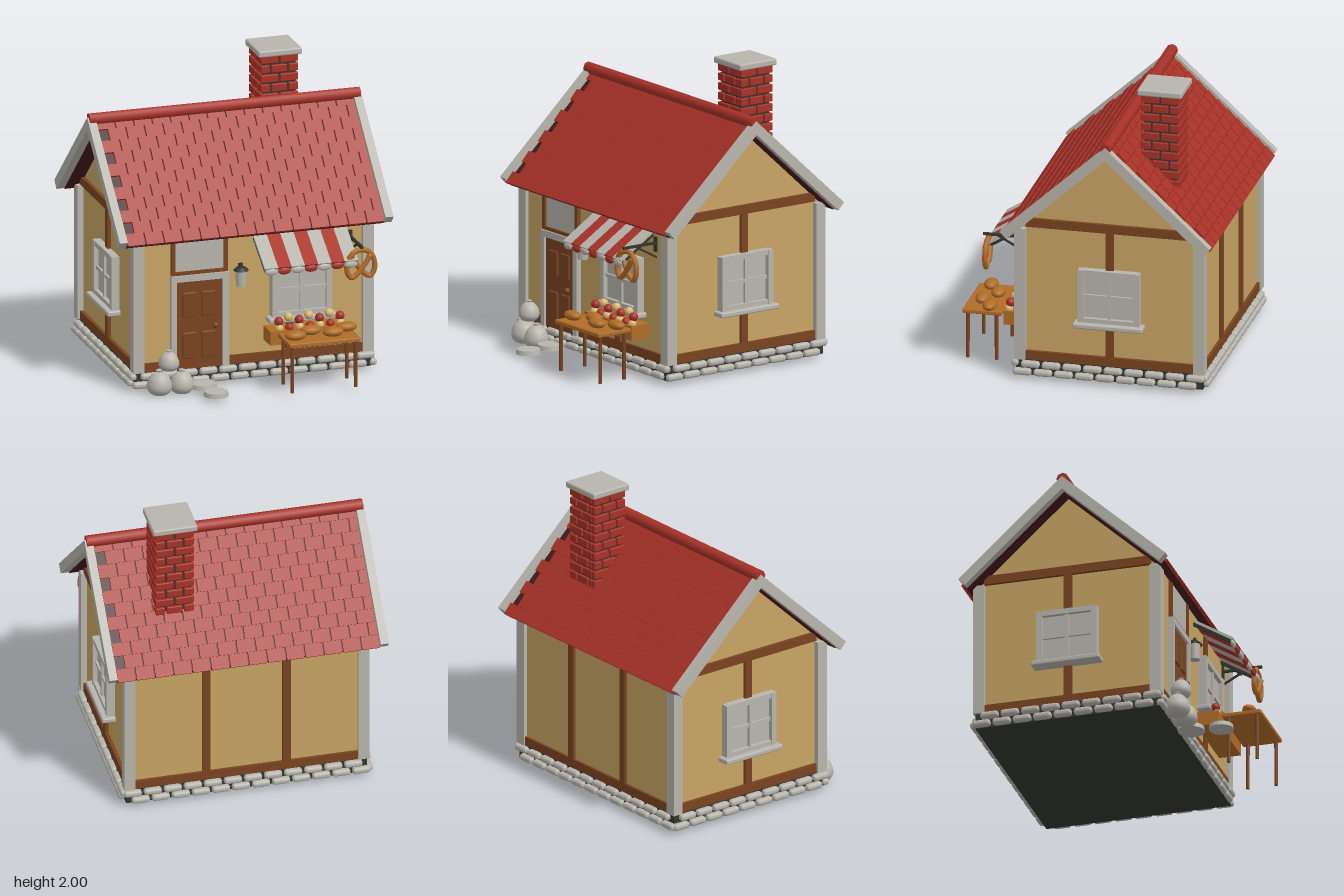
import * as THREE from 'three';
import { mergeGeometries } from 'three/addons/utils/BufferGeometryUtils.js';
import { RoundedBoxGeometry } from 'three/addons/geometries/RoundedBoxGeometry.js';

const mat = (name, color) => Object.assign(new THREE.MeshStandardMaterial({ color }), { name });
const RIDGE_Z = -0.16, RIDGE_Y = 1.71, PITCH = 0.742, SLOPE = 0.96;

export function createModel() {
  const root = new THREE.Group();
  root.name = 'bakery';
  const plaster = mat('plaster', 0xc8a464), timber = mat('timber', 0x7a4420), stone = mat('pale stone', 0xb8b5ad);
  const red = mat('red clay', 0xa83228), dark = mat('dark mortar', 0x33372f), crust = mat('golden wood', 0xb06c28);
  const cream = mat('cream bun', 0xd8b870), deckMat = mat('maroon underlay', 0x451a1c);

  const add = (name, geo, material, x = 0, y = 0, z = 0, parent = root) => {
    const m = new THREE.Mesh(geo, material);
    m.name = name;
    m.position.set(x, y, z);
    parent.add(m);
    return m;
  };
  // Box given by its extents
  const block = (name, material, x0, x1, y0, y1, z0, z1, parent = root) =>
    add(name, new THREE.BoxGeometry(x1 - x0, y1 - y0, z1 - z0), material, (x0 + x1) / 2, (y0 + y1) / 2, (z0 + z1) / 2, parent);
  const ball = (name, material, x, y, z, rx, ry = rx, rz = rx) => {
    const m = add(name, new THREE.SphereGeometry(1, 16, 12), material, x, y, z);
    m.scale.set(rx, ry, rz);
    return m;
  };
  // Profile in (z, y) about the ridge, extruded along x
  const crossSection = (name, material, pts, width, x = 0) => {
    const geo = new THREE.ExtrudeGeometry(new THREE.Shape(pts.map(p => new THREE.Vector2(p[0], p[1]))), { depth: width, bevelEnabled: false });
    geo.translate(0, 0, -width / 2).rotateY(-Math.PI / 2);
    return add(name, geo, material, x, 0, RIDGE_Z);
  };

  // Foundation core and two staggered courses of rounded stones
  block('foundationCore', dark, -0.81, 0.81, 0.025, 0.13, -0.79, 0.47);
  const stones = [];
  const course = (y, shift, len, n, place) => {
    const p = len / n;
    for (let i = 0; i < n; i++) {
      const g = new RoundedBoxGeometry(p * 0.9, 0.046, 0.05, 2, 0.02);
      g.translate(-len / 2 + p * (i + 0.5) + shift * p, y, 0);
      stones.push(place(g));
    }
  };
  [[0.05, -0.2], [0.105, 0.2]].forEach(([y, s]) => {
    course(y, s, 1.62, 12, g => g.translate(0, 0, 0.475));
    course(y, s, 1.62, 12, g => g.translate(0, 0, -0.8));
    course(y, s, 1.25, 9, g => g.rotateY(Math.PI / 2).translate(0.825, 0, RIDGE_Z));
    course(y, s, 1.25, 9, g => g.rotateY(-Math.PI / 2).translate(-0.825, 0, RIDGE_Z));
  });
  add('foundationStones', mergeGeometries(stones), stone);

  // Plaster walls with gables
  crossSection('walls', plaster, [[-0.615, 0.125], [0.615, 0.125], [0.615, 1.066], [0, 1.63], [-0.615, 1.066]], 1.57);

  // Corner posts and timber framing
  for (const s of [-1, 1]) {
    for (const z of [0.4425, -0.765]) block('cornerPost', stone, s * 0.7875 - 0.0375, s * 0.7875 + 0.0375, 0.13, 1.05, z - 0.0375, z + 0.0375);
    const beam = (n, y0, y1, z0, z1) => block(n, timber, s * 0.79 - 0.018, s * 0.79 + 0.018, y0, y1, z0, z1);
    beam('sideSill', 0.13, 0.19, -0.73, 0.405);
    beam('sideTopBeam', 1.06, 1.12, -0.73, 0.405);
    beam('sideStud', 0.19, 1.06, RIDGE_Z - 0.027, RIDGE_Z + 0.027);
    block('backStud', timber, s * 0.27 - 0.027, s * 0.27 + 0.027, 0.19, 1.05, -0.793, -0.76);
  }
  block('backSill', timber, -0.75, 0.75, 0.13, 0.19, -0.793, -0.76);
  block('frontSill', timber, -0.75, 0.75, 0.13, 0.19, 0.44, 0.473);
  block('frontStud', timber, 0.227, 0.281, 0.19, 1.05, 0.44, 0.473);

  // Roof underlay and barge boards, as chevrons offset below the roof line
  const sin = Math.sin(PITCH), cos = Math.cos(PITCH);
  const chevron = (name, material, top, bottom, width, x) => {
    const eave = d => [SLOPE * cos - d * sin, RIDGE_Y - SLOPE * sin - d * cos];
    const [a, b] = [eave(top), eave(bottom)];
    crossSection(name, material, [[0, RIDGE_Y - top / cos], [-a[0], a[1]], [-b[0], b[1]], [0, RIDGE_Y - bottom / cos], b, a], width, x);
  };
  chevron('roofUnderlay', deckMat, 0.036, 0.072, 1.77, 0);
  for (const s of [-1, 1]) chevron('bargeBoard', stone, 0, 0.066, 0.055, s * 0.9125);

  // Overlapping roof tiles in staggered rows
  const tiles = [], rows = 11, cols = 14, pitch = 1.77 / cols, step = 0.975 / rows;
  for (let r = 0; r < rows; r++) {
    for (let c = 0; c < cols; c++) {
      const x0 = -0.885 + pitch * (c + (r % 2 ? 0.5 : 0));
      const w = Math.min(pitch, 0.885 - x0) - 0.01;
      const g = new THREE.BoxGeometry(w, 0.02, step * 0.97);
      g.rotateX(0.09).translate(x0 + w / 2 + 0.005, -0.025, step * (r + 0.5));
      tiles.push(g);
    }
  }
  const tileSheet = mergeGeometries(tiles).rotateX(PITCH);
  add('frontRoofTiles', tileSheet, red, 0, RIDGE_Y, RIDGE_Z);
  add('backRoofTiles', tileSheet, red, 0, RIDGE_Y, RIDGE_Z).rotation.y = Math.PI;
  add('ridgeCap', new THREE.CylinderGeometry(0.04, 0.04, 1.86, 8).rotateZ(Math.PI / 2), red, 0, 1.697, RIDGE_Z);

  // Chimney: dark core, staggered bricks and a stone cap
  const chimney = new THREE.Group();
  chimney.name = 'chimney';
  chimney.position.set(0.43, 0, -0.44);
  root.add(chimney);
  block('chimneyCore', dark, -0.112, 0.112, 1.3, 1.96, -0.112, 0.112, chimney);
  const bricks = [];
  for (let r = 0; r < 10; r++) {
    for (let k = 0; k < 4; k++) {
      const spans = r % 2 ? [[-0.128, -0.006], [0.006, 0.1]] : [[-0.128, -0.065], [-0.053, 0.053], [0.065, 0.1]];
      for (const [a, b] of spans) {
        const g = new RoundedBoxGeometry(b - a, 0.052, 0.036, 1, 0.006);
        bricks.push(g.translate((a + b) / 2, 1.345 + r * 0.065, 0.112).rotateY(k * Math.PI / 2));
      }
    }
  }
  add('chimneyBricks', mergeGeometries(bricks), red, 0, 0, 0, chimney);
  add('chimneyCap', new RoundedBoxGeometry(0.3, 0.045, 0.3, 2, 0.012), stone, 0, 1.9775, 0, chimney);

  // Four-pane window with a sill, facing its local +z
  const makeWindow = (x, z, turn) => {
    const w = new THREE.Group();
    w.name = 'window';
    w.position.set(x, 0.615, z);
    w.rotation.y = turn;
    root.add(w);
    block('windowGlass', stone, -0.19, 0.19, -0.17, 0.17, -0.02, 0.025, w);
    for (const s of [-1, 1]) {
      block('windowJamb', stone, s * 0.187 - 0.02, s * 0.187 + 0.02, -0.185, 0.185, -0.02, 0.055, w);
      block('windowRail', stone, -0.18, 0.18, s * 0.168 - 0.018, s * 0.168 + 0.018, -0.02, 0.052, w);
    }
    block('windowMullion', stone, -0.012, 0.012, -0.16, 0.16, 0, 0.042, w);
    block('windowBar', stone, -0.17, 0.17, -0.012, 0.012, 0, 0.04, w);
    add('windowSill', new RoundedBoxGeometry(0.47, 0.035, 0.11, 2, 0.01), stone, 0, -0.197, 0.035, w);
  };
  makeWindow(0.325, 0.455, 0);
  makeWindow(0.785, RIDGE_Z, Math.PI / 2);
  makeWindow(-0.785, RIDGE_Z, -Math.PI / 2);

  // Door with frame, raised panels and knob
  block('doorSlab', timber, -0.53, -0.215, 0.13, 0.735, 0.44, 0.475);
  block('doorJamb', stone, -0.567, -0.53, 0.13, 0.775, 0.44, 0.49);
  block('doorJamb', stone, -0.215, -0.17, 0.13, 0.775, 0.44, 0.49);
  block('doorLintel', stone, -0.567, -0.17, 0.733, 0.777, 0.44, 0.492);
  for (const x of [-0.44, -0.31])
    for (const [y, h] of [[0.57, 0.17], [0.29, 0.18]])
      add('doorPanel', new RoundedBoxGeometry(0.095, h, 0.02, 1, 0.007), timber, x, y, 0.477);
  ball('doorKnob', timber, -0.268, 0.42, 0.495, 0.02);

  // Framed board above the door
  block('boardPanel', stone, -0.54, -0.2, 0.79, 1.04, 0.44, 0.467);
  for (const x of [-0.55, -0.19]) block('boardSide', timber, x - 0.014, x + 0.014, 0.777, 1.05, 0.44, 0.48);
  block('boardBottom', timber, -0.56, -0.18, 0.777, 0.8, 0.44, 0.48);

  // Wall lantern
  add('lanternBody', new THREE.CylinderGeometry(0.038, 0.034, 0.11, 12), stone, -0.092, 0.727, 0.495);
  add('lanternCap', new THREE.CylinderGeometry(0.03, 0.052, 0.022, 12), dark, -0.092, 0.79, 0.495);
  add('lanternTop', new THREE.CylinderGeometry(0.012, 0.014, 0.03, 8), dark, -0.092, 0.813, 0.495);
  block('lanternArm', dark, -0.1, -0.084, 0.8, 0.815, 0.45, 0.495);

  // Striped awning with scalloped edge and side brackets
  const awning = new THREE.Group();
  awning.name = 'awning';
  awning.position.set(0, 1.0, 0.46);
  awning.rotation.x = 0.552;
  root.add(awning);
  for (let i = 0; i < 7; i++) {
    const m = i % 2 ? red : stone;
    block('awningStripe', m, i * 0.0914, (i + 1) * 0.0914, -0.009, 0.009, 0, 0.305, awning);
    ball('awningScallop', m, (i + 0.5) * 0.0914, 0.82, 0.715, 0.044, 0.024, 0.014);
  }
  for (const x of [0.012, 0.628]) block('awningBracket', dark, x - 0.008, x + 0.008, -0.03, -0.009, 0, 0.3, awning);

  // Hanging pretzel on its bracket
  const half = [[0.06, 0.05], [0.025, -0.005], [-0.02, -0.06], [-0.065, -0.088], [-0.095, -0.045], [-0.09, 0.03], [-0.05, 0.082]];
  const loop = [...half, [0, 0.094], ...half.map(([x, y]) => [-x, y]).reverse()];
  const path = new THREE.CatmullRomCurve3(loop.map(([x, y], i) => new THREE.Vector3(x, y, i < 7 ? 0.006 : -0.006)));
  add('pretzel', new THREE.TubeGeometry(path, 72, 0.018, 8), crust, 0.667, 0.81, 0.695);
  for (const [x, y] of [loop[0], loop[loop.length - 1]]) ball('pretzelEnd', crust, 0.667 + x, 0.81 + y, 0.695, 0.019);
  block('signBar', dark, 0.658, 0.676, 0.922, 0.938, 0.45, 0.725);
  block('signHook', dark, 0.662, 0.672, 0.895, 0.925, 0.69, 0.7);
  block('signPlate', dark, 0.652, 0.682, 0.87, 0.97, 0.45, 0.465);
  add('signStrut', new THREE.BoxGeometry(0.012, 0.012, 0.2), dark, 0.667, 0.88, 0.54).rotation.x = -0.5;

  // Table with four legs and loaves
  add('tableTop', new RoundedBoxGeometry(0.49, 0.03, 0.265, 1, 0.008), crust, 0.365, 0.35, 0.748);
  for (const x of [0.148, 0.582])
    for (const z of [0.655, 0.848]) add('tableLeg', new THREE.CylinderGeometry(0.013, 0.012, 0.32, 8), timber, x, 0.18, z);
  for (const [x, z] of [[0.19, 0.785], [0.32, 0.705], [0.45, 0.78], [0.565, 0.705]])
    ball('loaf', crust, x, 0.392, z, 0.072, 0.033, 0.047);

  // Crate of fruit under the window
  block('crate', crust, 0.075, 0.595, 0.275, 0.37, 0.45, 0.605);
  for (let i = 0; i < 7; i++) {
    const bun = i % 2;
    ball(bun ? 'bun' : 'apple', bun ? cream : red, 0.145 + i * 0.07, bun ? 0.445 : 0.425, bun ? 0.55 : 0.565, 0.03);
    ball('crateFilling', bun ? red : cream, 0.145 + i * 0.07, 0.38, 0.575, 0.028);
  }

  // Flour sacks
  const sack = [[0, 0], [0.6, 0.04], [0.95, 0.4], [1, 0.85], [0.8, 1.4], [0.45, 1.75], [0.2, 1.85], [0.28, 2.02], [0, 2.03]];
  for (const [x, y, z, r] of [[-0.67, 0, 0.55, 0.083], [-0.52, 0, 0.56, 0.079], [-0.607, 0.16, 0.555, 0.068]])
    add('flourSack', new THREE.LatheGeometry(new THREE.SplineCurve(sack.map(p => new THREE.Vector2(Math.max(0, p[0] * r), p[1] * r))).getPoints(24), 16), stone, x, y, z);

  // Stepping stones
  for (const [x, z, r] of [[-0.37, 0.555, 0.09], [-0.345, 0.752, 0.083]])
    add('steppingStone', new THREE.CylinderGeometry(r * 0.94, r, 0.03, 16), stone, x, 0.037, z);

  return root;
}
